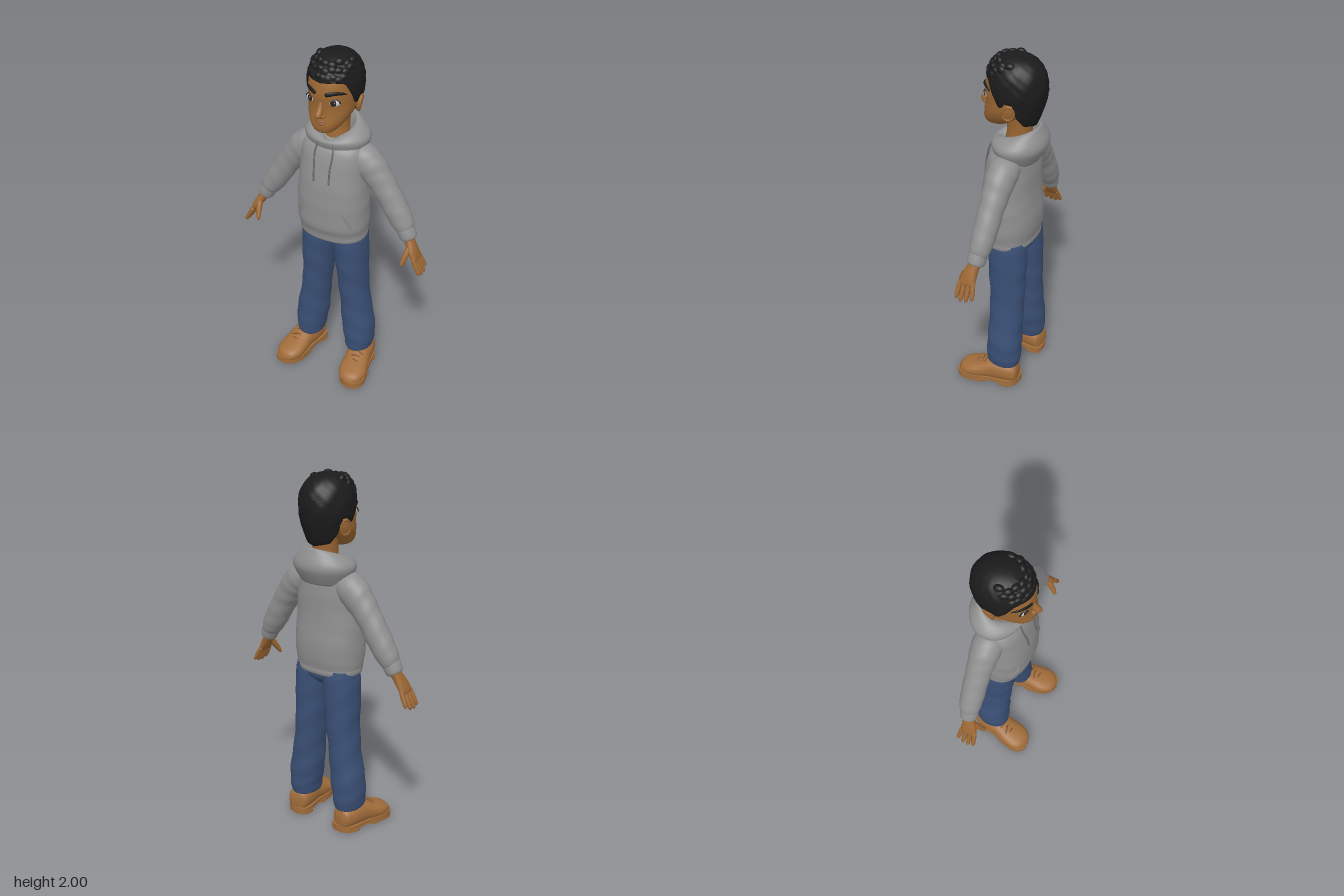
import * as THREE from 'three';

const V = (x, y, z) => new THREE.Vector3(x, y, z);
const UP = V(0, 1, 0), DOWN = V(0, -1, 0), FRONT = V(0, 0, 1);

function grid(rows, cols, point, caps) {
  const pos = [], idx = [];
  for (let i = 0; i < rows; i++) for (let j = 0; j < cols; j++) pos.push(...point(i, j).toArray());
  for (let i = 0; i < rows - 1; i++) for (let j = 0; j < cols; j++) {
    const k = (j + 1) % cols, a = i * cols, b = a + cols;
    idx.push(a + j, b + j, a + k, b + j, b + k, a + k);
  }
  if (caps) {
    const n = rows * cols, e = n - cols;
    pos.push(...caps[0].toArray(), ...caps[1].toArray());
    for (let j = 0; j < cols; j++) {
      const k = (j + 1) % cols;
      idx.push(n, j, k, n + 1, e + k, e + j);
    }
  }
  const g = new THREE.BufferGeometry();
  g.setAttribute('position', new THREE.Float32BufferAttribute(pos, 3));
  g.setIndex(idx);
  g.computeVertexNormals();
  return g;
}

// Smooth skin through sections [x, y, z, half width, half depth, tilt]; t is the overall direction of the sections
function loft(sec, { n = 28, sub = 4, p = 1, t = null, w = FRONT, fold = 0, notch = 0 } = {}) {
  const cs = new THREE.CatmullRomCurve3(sec.map(s => V(s[0], s[1], s[2])), false, 'catmullrom');
  const rs = new THREE.CatmullRomCurve3(sec.map(s => V(s[3], s[4], s[5] || 0)), false, 'catmullrom');
  const rows = (sec.length - 1) * sub + 1;
  const pw = c => Math.sign(c) * Math.abs(c) ** p;
  const frames = Array.from({ length: rows }, (_, i) => {
    const u = i / (rows - 1), T = (t || cs.getTangent(u)).clone().normalize();
    const W = w.clone().addScaledVector(T, -w.dot(T)).normalize();
    return { c: cs.getPoint(u), r: rs.getPoint(u), T, W, S: T.clone().cross(W), u };
  });
  return grid(rows, n, (i, j) => {
    const a = j / n * Math.PI * 2, { c, r, T, W, S, u } = frames[i], s = Math.sin(a);
    const k = 1 + fold * Math.sin(u * 44 + 2.2 * Math.sin(a + 0.6)) * Math.sin(u * Math.PI);
    return c.clone().addScaledVector(S, r.x * k * pw(Math.cos(a))).addScaledVector(W, r.y * k * pw(s))
      .addScaledVector(T, -r.z * (s + notch * Math.max(0, s) ** 10));
  }, [frames[0].c, frames[rows - 1].c]);
}

const tube = (pts, r, n = 16) => new THREE.TubeGeometry(new THREE.CatmullRomCurve3(pts.map(q => V(...q))), n, r, 7);

// Hairline height by angle from the front, in degrees
const HAIRLINE = [[0, 1.885], [35, 1.892], [50, 1.88], [70, 1.795], [76, 1.755], [83, 1.755], [88, 1.785], [105, 1.78], [113, 1.7], [130, 1.65], [181, 1.63]];
function hairline(deg) {
  const i = HAIRLINE.findIndex(h => h[0] > deg), [a, ya] = HAIRLINE[i - 1], [b, yb] = HAIRLINE[i];
  return THREE.MathUtils.lerp(ya, yb, (deg - a) / (b - a));
}
const hairRadius = y => y > 1.82 ? Math.max(0, 1 - ((y - 1.82) / 0.18) ** 2.6) ** 0.4545 : 1 - 0.32 * ((1.82 - y) / 0.19) ** 1.6;
function hairPoint(phi, y, k = 1) {
  const r = hairRadius(y) * k;
  return V(0.145 * r * Math.sin(phi), y, -0.04 + 0.165 * r * Math.cos(phi));
}

// Outline slab for a boot sole between two z values
const bootX = z => 0.16 + (z + 0.14) * 0.17;
const SOLE = [[-0.143, 0.034], [-0.12, 0.064], [-0.06, 0.072], [0.0, 0.069], [0.04, 0.073], [0.09, 0.079], [0.14, 0.08], [0.185, 0.063], [0.212, 0.028]];
function slab(s, z0, z1, h) {
  const part = SOLE.filter(q => q[0] >= z0 && q[0] <= z1);
  const pts = [...part.map(([z, r]) => [bootX(z) + r, z]), ...part.slice().reverse().map(([z, r]) => [bootX(z) - r, z])];
  const shape = new THREE.Shape();
  shape.setFromPoints(new THREE.CatmullRomCurve3(pts.map(q => V(q[0] * s, -q[1], 0)), true).getPoints(48).slice(0, -1).map(q => new THREE.Vector2(q.x, q.y)));
  return new THREE.ExtrudeGeometry(shape, { depth: h, bevelEnabled: false }).rotateX(-Math.PI / 2);
}

export function createModel() {
  const root = new THREE.Group();
  root.name = 'figure';
  const M = {};
  const colors = { skin: 0x9a6633, hair: 0x1b1b1c, hoodie: 0x8f8f90, cord: 0x6a6a6c, jeans: 0x3a4f75, boot: 0xa06c3a, lace: 0x7c5430, eyeWhite: 0xc4cad0, iris: 0x2a2422, lip: 0x8e5a31 };
  for (const [name, color] of Object.entries(colors)) {
    M[name] = new THREE.MeshStandardMaterial({ color });
    M[name].name = name;
  }
  M.hair.side = M.hoodie.side = THREE.DoubleSide;
  const add = (name, geo, mat, parent = root) => {
    const m = new THREE.Mesh(geo, M[mat]);
    m.name = name;
    parent.add(m);
    return m;
  };
  const ball = (name, mat, p, r, parent = root) => {
    const m = add(name, new THREE.SphereGeometry(1, 20, 14), mat, parent);
    m.position.set(...p);
    m.scale.set(...r);
    return m;
  };

  // Head and neck
  add('head', loft([[0, 1.6, 0.075, 0.02, 0.03], [0, 1.612, 0.065, 0.055, 0.062], [0, 1.65, 0.035, 0.09, 0.1], [0, 1.7, 0, 0.115, 0.124],
    [0, 1.75, -0.02, 0.122, 0.14], [0, 1.82, -0.03, 0.125, 0.155], [0, 1.9, -0.04, 0.118, 0.145], [0, 1.95, -0.04, 0.08, 0.1], [0, 1.97, -0.04, 0.02, 0.03]], { p: 0.9, t: UP, n: 40 }), 'skin');
  add('neck', loft([[0, 1.46, -0.05, 0.08, 0.075], [0, 1.54, -0.055, 0.07, 0.07], [0, 1.6, -0.06, 0.066, 0.068], [0, 1.7, -0.06, 0.075, 0.075]], { t: UP }), 'skin');

  // Nose and mouth
  add('nose', loft([[0, 1.795, 0.108, 0.008, 0.01], [0, 1.755, 0.121, 0.013, 0.016], [0, 1.722, 0.139, 0.019, 0.025], [0, 1.704, 0.136, 0.019, 0.021], [0, 1.693, 0.125, 0.008, 0.01]], { t: DOWN, n: 18 }), 'skin');
  for (const s of [1, -1]) ball('nostril', 'skin', [s * 0.018, 1.707, 0.128], [0.011, 0.01, 0.014]);
  add('upperLip', tube([[-0.034, 1.674, 0.121], [-0.012, 1.678, 0.134], [0, 1.676, 0.136], [0.012, 1.678, 0.134], [0.034, 1.674, 0.121]], 0.005), 'lip');
  add('lowerLip', tube([[-0.03, 1.671, 0.121], [0, 1.663, 0.135], [0.03, 1.671, 0.121]], 0.006), 'lip');

  // Hair cap with lumpy surface and a turned-in edge
  const rows = 30, cols = 120;
  add('hair', grid(rows, cols, (i, j) => {
    const phi = j / cols * Math.PI * 2, deg = Math.abs(phi > Math.PI ? phi - 2 * Math.PI : phi) * 180 / Math.PI;
    const low = hairline(deg), f = Math.min(1, i / (rows - 2)), y = 2 - (2 - low) * f ** 1.7;
    const bump = 0.02 * Math.sin(phi * 11 + y * 40) * Math.sin(y * 80 + phi * 3) * Math.sin(f * Math.PI);
    return hairPoint(phi, y, i === rows - 1 ? 0.76 : 1 + bump);
  }), 'hair');

  // Soft clumps along the fringe and crown
  const clumps = new THREE.Group();
  clumps.name = 'hairClumps';
  root.add(clumps);
  [[1.905, 9, 0.85], [1.938, 9, 1.2], [1.965, 8, 1.5]].forEach(([y, n, span], r) => {
    for (let i = 0; i < n; i++) {
      const phi = THREE.MathUtils.lerp(-span, span, i / (n - 1)) + r * 0.06;
      const c = hairPoint(phi, y + 0.006 * Math.sin(i * 2.4 + r), 0.9);
      ball('clump', 'hair', c.toArray(), [0.028, 0.023 + 0.003 * Math.sin(i * 1.7), 0.019], clumps).rotation.y = phi;
    }
  });

  // Hoodie body, hem and hood
  add('hoodieBody', loft([[0, 0.945, -0.025, 0.15, 0.1], [0, 0.925, -0.025, 0.186, 0.128], [0, 0.965, -0.023, 0.194, 0.136], [0, 1.02, -0.02, 0.2, 0.149], [0, 1.12, -0.02, 0.2, 0.15],
    [0, 1.2, -0.016, 0.197, 0.145], [0, 1.3, -0.02, 0.188, 0.139], [0, 1.4, -0.028, 0.184, 0.128], [0, 1.46, -0.033, 0.178, 0.116], [0, 1.5, -0.045, 0.15, 0.1], [0, 1.53, -0.06, 0.09, 0.068]], { p: 0.86, t: UP, n: 44, fold: 0.006 }), 'hoodie');
  add('hem', loft([[0, 0.94, -0.025, 0.17, 0.11], [0, 0.92, -0.025, 0.187, 0.128], [0, 0.94, -0.025, 0.194, 0.134], [0, 0.97, -0.023, 0.19, 0.13]], { p: 0.86, t: UP, n: 44 }), 'hoodie');
  add('hood', loft([[0, 1.43, -0.07, 0.14, 0.1], [0, 1.475, -0.065, 0.168, 0.13], [0, 1.515, -0.066, 0.183, 0.145], [0, 1.545, -0.066, 0.174, 0.141, 0.008], [0, 1.575, -0.064, 0.14, 0.122, 0.022],
    [0, 1.588, -0.066, 0.108, 0.106, 0.034], [0, 1.575, -0.066, 0.089, 0.09, 0.036], [0, 1.5, -0.06, 0.07, 0.065, 0.02]], { t: UP, n: 48, notch: 0.9 }), 'hoodie');

  // Parts that come in pairs: s = 1 is the model's left
  for (const s of [1, -1]) {
    const side = new THREE.Group();
    side.name = s > 0 ? 'leftSide' : 'rightSide';
    root.add(side);
    const mir = a => a.map(q => [q[0] * s, ...q.slice(1)]);

    // Eye, lash line and brow
    const eye = new THREE.Group();
    eye.name = 'eye';
    eye.position.set(s * 0.066, 1.783, 0.1);
    eye.rotation.y = s * 0.36;
    side.add(eye);
    ball('eyeball', 'eyeWhite', [0, 0, 0], [0.03, 0.02, 0.012], eye);
    ball('iris', 'iris', [-s * 0.003, 0.001, 0.0085], [0.0165, 0.0175, 0.005], eye);
    ball('glint', 'eyeWhite', [0.004, 0.006, 0.0132], [0.003, 0.003, 0.0012], eye);
    const lash = add('lash', new THREE.TorusGeometry(0.03, 0.004, 6, 18, Math.PI), 'hair', eye);
    lash.scale.y = 0.68;
    lash.position.z = 0.003;
    add('eyebrow', loft(mir([[0.026, 1.826, 0.122, 0.006, 0.004], [0.034, 1.828, 0.121, 0.011, 0.006], [0.068, 1.836, 0.106, 0.011, 0.006], [0.096, 1.831, 0.077, 0.008, 0.006], [0.112, 1.822, 0.054, 0.002, 0.002]]), { n: 10 }), 'hair', side);

    // Ear
    const ear = new THREE.Group();
    ear.name = 'ear';
    ear.position.set(s * 0.126, 1.732, -0.056);
    ear.rotation.set(-0.15, s * 0.3, -s * 0.12);
    side.add(ear);
    ball('earShell', 'skin', [0, 0, 0], [0.014, 0.047, 0.034], ear);
    const rim = add('earRim', new THREE.TorusGeometry(0.03, 0.006, 8, 24).rotateY(Math.PI / 2), 'skin', ear);
    rim.scale.y = 1.35;
    rim.position.x = s * 0.008;

    // Sleeve and cuff
    add('sleeve', loft(mir([[0.1, 1.43, -0.05, 0.06, 0.07], [0.15, 1.42, -0.05, 0.084, 0.082], [0.2, 1.382, -0.05, 0.087, 0.08], [0.25, 1.325, -0.05, 0.077, 0.072], [0.305, 1.25, -0.048, 0.07, 0.066],
      [0.365, 1.153, -0.045, 0.068, 0.064], [0.408, 1.085, -0.041, 0.061, 0.058], [0.428, 1.05, -0.038, 0.048, 0.05]]), { fold: 0.018, sub: 7 }), 'hoodie', side);
    add('cuff', loft(mir([[0.418, 1.07, -0.038, 0.045, 0.045], [0.426, 1.054, -0.037, 0.05, 0.051], [0.446, 1.015, -0.035, 0.047, 0.048], [0.452, 1.003, -0.034, 0.038, 0.04]])), 'hoodie', side);

    // Hand
    add('palm', loft(mir([[0.44, 1.02, -0.034, 0.028, 0.032], [0.462, 0.985, -0.025, 0.026, 0.034], [0.486, 0.945, -0.015, 0.023, 0.043], [0.507, 0.91, -0.012, 0.016, 0.046], [0.515, 0.897, -0.012, 0.006, 0.04]]), { p: 0.9, n: 20 }), 'skin', side);
    [-0.047, -0.023, 0.001, 0.025].forEach((z, i) => {
      const len = [0.84, 1, 1.02, 0.92][i], spread = [-0.012, -0.004, 0.003, 0.008][i];
      const at = (u, r) => [0.502 + 0.05 * u * len, 0.918 - 0.096 * u * len, z + spread * u, r, r];
      add('finger', loft(mir([at(0, 0.012), at(0.4, 0.013), at(0.8, 0.0115), at(0.95, 0.008), at(1, 0.002)]), { n: 10 }), 'skin', side);
    });
    add('thumb', loft(mir([[0.468, 0.972, -0.005, 0.015, 0.018], [0.463, 0.94, 0.02, 0.017, 0.018], [0.455, 0.905, 0.043, 0.014, 0.014], [0.449, 0.882, 0.056, 0.01, 0.01], [0.447, 0.874, 0.06, 0.002, 0.002]]), { n: 12 }), 'skin', side);

    // Drawstring and pocket edge
    add('drawstring', tube(mir([[0.04, 1.525, 0.068], [0.052, 1.47, 0.09], [0.047, 1.39, 0.112], [0.045, 1.31, 0.123]]), 0.005), 'cord', side);
    ball('drawstringTip', 'cord', [s * 0.045, 1.315, 0.123], [0.006, 0.014, 0.006], side);
    add('pocketEdge', tube(mir([[0.118, 1.145, 0.107], [0.137, 1.1, 0.1], [0.162, 1.03, 0.078]]), 0.007), 'hoodie', side);

    // Trouser leg
    add('trouserLeg', loft(mir([[0.095, 0.95, -0.04, 0.09, 0.1], [0.097, 0.88, -0.04, 0.097, 0.108], [0.105, 0.75, -0.042, 0.092, 0.105], [0.114, 0.6, -0.046, 0.084, 0.099], [0.131, 0.44, -0.047, 0.084, 0.096],
      [0.149, 0.3, -0.047, 0.093, 0.098], [0.159, 0.2, -0.046, 0.085, 0.1], [0.16, 0.135, -0.045, 0.075, 0.094], [0.16, 0.12, -0.045, 0.06, 0.08]]), { t: DOWN, sub: 8, fold: 0.02, p: 0.92 }), 'jeans', side);

    // Boot with sole, treads and laces
    const b = (z, y, r, h) => [s * bootX(z), y, z, r, h];
    add('bootUpper', loft([b(-0.14, 0.065, 0.03, 0.03), b(-0.122, 0.075, 0.06, 0.06), b(-0.05, 0.083, 0.071, 0.07), b(0.02, 0.078, 0.07, 0.066), b(0.08, 0.064, 0.077, 0.054), b(0.14, 0.054, 0.079, 0.043), b(0.19, 0.045, 0.057, 0.032), b(0.212, 0.035, 0.02, 0.012)],
      { t: V(s * 0.17, 0, 1), w: UP, p: 0.88 }), 'boot', side);
    add('sole', slab(s, -1, 1, 0.024), 'boot', side).position.y = 0.014;
    add('heelTread', slab(s, -1, -0.05, 0.016), 'boot', side);
    add('frontTread', slab(s, 0.03, 1, 0.016), 'boot', side);
    [[0.04, 0.139], [0.068, 0.126], [0.095, 0.112]].forEach(([z, y], i) => {
      const x = s * bootX(z), d = i % 2 ? 0.008 : -0.008;
      add('lace', tube([[x - 0.04, y - 0.015, z + d], [x, y + 0.001, z], [x + 0.04, y - 0.015, z - d]], 0.004), 'lace', side);
    });
  }

  // Seat of the trousers
  add('trouserSeat', loft([[0, 0.85, -0.04, 0.02, 0.06], [0, 0.875, -0.04, 0.07, 0.09], [0, 0.905, -0.04, 0.15, 0.107], [0, 0.96, -0.04, 0.18, 0.105]], { t: UP, p: 0.86 }), 'jeans');

  return root;
}
